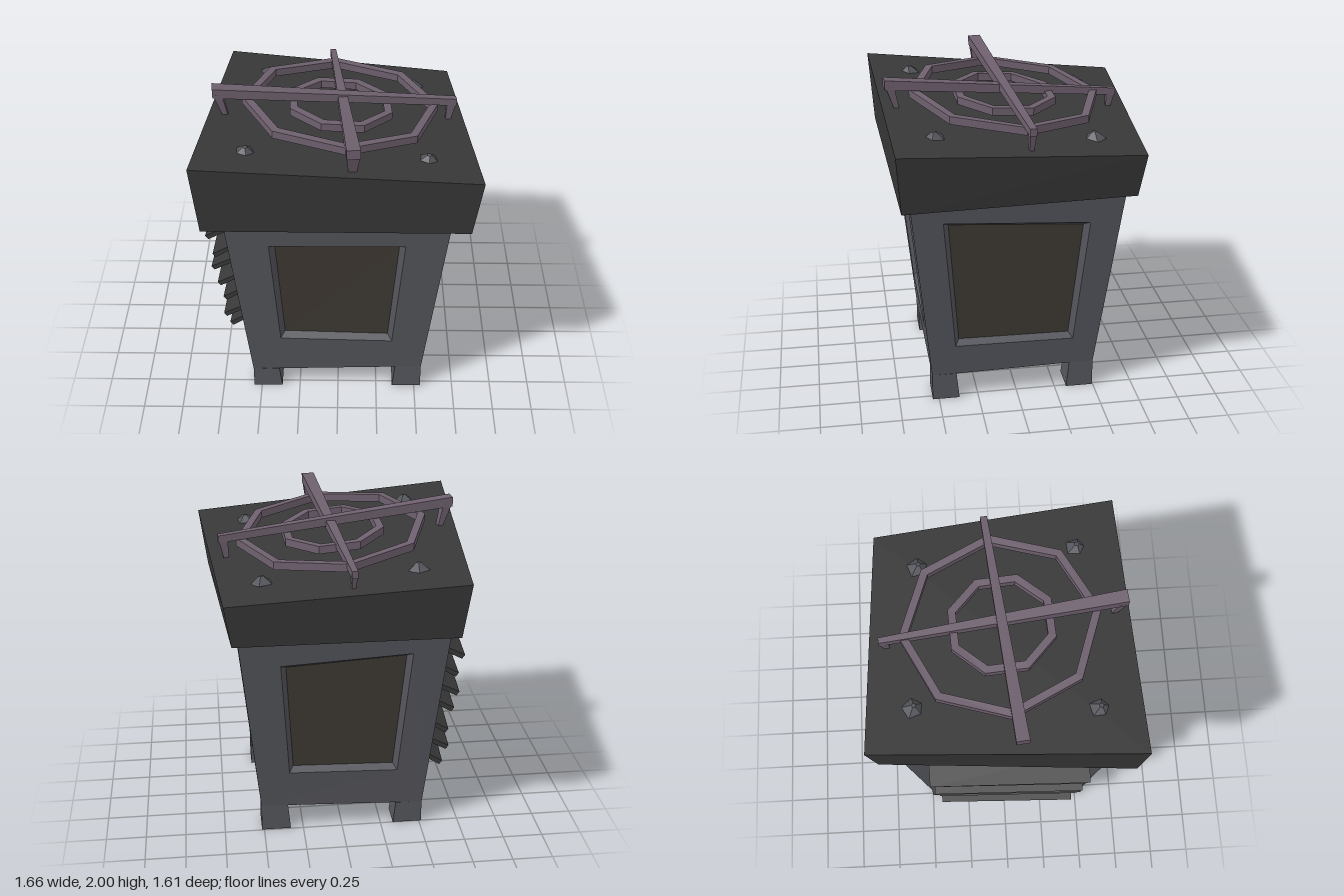
import * as THREE from 'three';

const paint = (color) => new THREE.MeshStandardMaterial({ color, flatShading: true, side: THREE.DoubleSide });
const V = (x, y, z) => new THREE.Vector3(x, y, z);
const mix = (a, b, t) => a.clone().lerp(b, t);

// Joins equal-length loops of points; closed solids are turned outward by their signed volume
function loft(loops, { caps = true, solid = true } = {}) {
  const tris = [];
  const fan = (l) => { for (let i = 1; i < l.length - 1; i++) tris.push([l[0], l[i], l[i + 1]]); };
  for (let k = 0; k < loops.length - 1; k++) {
    const a = loops[k], b = loops[k + 1];
    a.forEach((p, i) => {
      const j = (i + 1) % a.length;
      tris.push([p, a[j], b[j]], [p, b[j], b[i]]);
    });
  }
  if (caps) {
    fan(loops[loops.length - 1]);
    if (solid) fan([...loops[0]].reverse());
  }
  let volume = 0;
  for (const [a, b, c] of tris) volume += a.dot(b.clone().cross(c));
  if (solid && volume < 0) tris.forEach((t) => t.reverse());
  const g = new THREE.BufferGeometry().setFromPoints(tris.flat());
  g.computeVertexNormals();
  return g;
}

// Rectangle around a centre, spanned by two half-vectors
const rect = (c, u, v) => [[-1, -1], [1, -1], [1, 1], [-1, 1]].map(([s, t]) =>
  c.clone().addScaledVector(u, s).addScaledVector(v, t));

// Height of the sloping lid surface
const lidY = (x, z) => 1.757 - 0.075 * x + 0.075 * z;

export function createModel() {
  const model = new THREE.Group();
  const metal = paint(0x55565c), dark = paint(0x383838), glass = paint(0x403a34), iron = paint(0x6e606e);
  const add = (name, geometry, material) => {
    const mesh = new THREE.Mesh(geometry, material);
    mesh.name = name;
    model.add(mesh);
    return mesh;
  };

  // Tapered body corners: front right, front left, back left, back right
  const low = [V(-0.55, 0.145, 0.545), V(0.54, 0.173, 0.54), V(0.515, 0.178, -0.495), V(-0.515, 0.142, -0.5)];
  const high = [V(-0.673, 1.44, 0.673), V(0.673, 1.44, 0.66), V(0.64, 1.43, -0.645), V(-0.64, 1.43, -0.645)];

  // Window corners as fractions of each wall: bottom left, bottom right, top right, top left
  const windows = [
    [[0.187, 0.225], [0.805, 0.195], [0.81, 0.84], [0.187, 0.845]],
    [[0.156, 0.165], [0.85, 0.15], [0.85, 0.815], [0.145, 0.86]],
    [[0.19, 0.2], [0.82, 0.2], [0.83, 0.86], [0.19, 0.82]],
    [[0.15, 0.16], [0.85, 0.16], [0.85, 0.84], [0.15, 0.84]],
  ];
  const walls = ['front', 'left', 'back', 'right'];
  windows.forEach((corners, k) => {
    const n = (k + 1) % 4;
    const at = (s, t) => mix(mix(low[k], low[n], s), mix(high[k], high[n], s), t);
    const normal = low[n].clone().sub(low[k]).cross(high[k].clone().sub(low[k])).normalize();
    const opening = corners.map(([s, t]) => at(s, t));
    const pane = corners.map(([s, t]) =>
      at(s + (s < 0.5 ? 0.025 : -0.025), t + (t < 0.5 ? 0.022 : -0.024)).addScaledVector(normal, -0.04));
    add(walls[k] + 'Wall', loft([[low[k], low[n], high[n], high[k]], opening, pane], { caps: false, solid: false }), metal);
    add(walls[k] + 'Pane', loft([pane], { solid: false }), glass);
  });
  add('floor', loft([[...low].reverse()], { solid: false }), dark);

  // Four corner feet, slightly wider at the ground
  low.forEach((c) => {
    const sx = -Math.sign(c.x), sz = -Math.sign(c.z);
    const foot = (y, w, d) => [V(c.x, y, c.z), V(c.x + sx * w, y, c.z), V(c.x + sx * w, y, c.z + sz * d), V(c.x, y, c.z + sz * d)];
    add('foot', loft([foot(0, 0.185, 0.17), foot(c.y + 0.003, 0.168, 0.153)]), metal);
  });

  // Crooked overhanging lid
  add('lid', loft([
    [V(-0.79, 1.44, 0.77), V(0.78, 1.39, 0.71), V(0.67, 1.375, -0.7), V(-0.67, 1.4, -0.76)],
    [V(-0.83, 1.885, 0.8), V(0.83, 1.755, 0.735), V(0.71, 1.643, -0.74), V(-0.71, 1.747, -0.81)],
  ]), dark);

  // Sloping vent slats on the right wall
  [1.21, 1.06, 0.95, 0.81, 0.68, 0.53, 0.44].forEach((tip, i) => {
    const reach = [0.15, 0.13, 0.155, 0.14, 0.125, 0.145, 0.12][i];
    const section = (z, y, shift) => {
      const x = -0.55 + shift - 0.095 * (y - 0.15);
      return [V(x + 0.03, y + 0.09, z), V(x - reach, y, z), V(x - reach + 0.018, y - 0.026, z), V(x + 0.03, y + 0.06, z)];
    };
    const sag = i % 2 ? 0.03 : 0.055;
    add('ventSlat', loft([section(0.51 - 0.015 * i, tip, 0), section(-0.47 + 0.01 * i, tip - sag, 0.035)]), dark);
  });

  // Two eight-sided grate rings parallel to the lid
  const ring = (name, radius, start, cx, cz) => {
    const sections = [];
    for (let i = 0; i <= 8; i++) {
      const a = start + ((i % 8) * Math.PI) / 4;
      const x = cx + radius * Math.cos(a), z = cz + radius * Math.sin(a);
      sections.push(rect(V(x, lidY(x, z) + 0.08, z), V(0.025 * Math.cos(a), 0, 0.025 * Math.sin(a)), V(0, 0.024, 0)));
    }
    add(name, loft(sections, { caps: false }), iron);
  };
  ring('outerRing', 0.57, -0.07, 0.012, 0);
  ring('innerRing', 0.305, 0.34, 0.01, 0.01);

  // Tapered crossing bars with a prong at each end
  const bar = (name, a, b) => {
    const along = b.p.clone().sub(a.p).normalize();
    const side = V(-along.z, 0, along.x).normalize();
    const section = (e) => rect(e.p.clone().add(V(0, -e.h / 2, 0)), side.clone().multiplyScalar(e.w / 2), V(0, e.h / 2, 0));
    add(name, loft([section(a), section(b)]), iron);
    [[a, 1], [b, -1]].forEach(([e, s]) => {
      const top = e.p.clone().addScaledVector(along, s * 0.03).add(V(0, -e.h * 0.6, 0));
      const tip = e.p.clone().addScaledVector(along, s * (0.02 + e.w * 0.65));
      tip.y = lidY(tip.x, tip.z) - 0.005;
      add(name + 'Prong', loft([
        rect(top, side.clone().multiplyScalar(e.w / 2), along.clone().multiplyScalar(0.028)),
        rect(tip, side.clone().multiplyScalar(e.w * 0.3), along.clone().multiplyScalar(0.016)),
      ]), iron);
    });
  };
  bar('crossBar', { p: V(-0.752, 2.0, 0.088), w: 0.078, h: 0.06 }, { p: V(0.715, 1.845, -0.06), w: 0.042, h: 0.045 });
  bar('lengthBar', { p: V(0.09, 1.985, 0.745), w: 0.08, h: 0.06 }, { p: V(-0.045, 1.82, -0.712), w: 0.036, h: 0.045 });

  // Five-sided bolt heads near the lid corners
  [[-0.445, -0.52], [0.475, -0.47], [-0.53, 0.545], [0.525, 0.49]].forEach(([x, z], i) => {
    const bolt = add('bolt', new THREE.CylinderGeometry(0.015, 0.07, 0.045, 5), metal);
    bolt.position.set(x, lidY(x, z) + 0.015, z);
    bolt.rotation.set(0.075, 0.5 + i * 1.1, -0.075, 'XZY');
  });
  return model;
}
